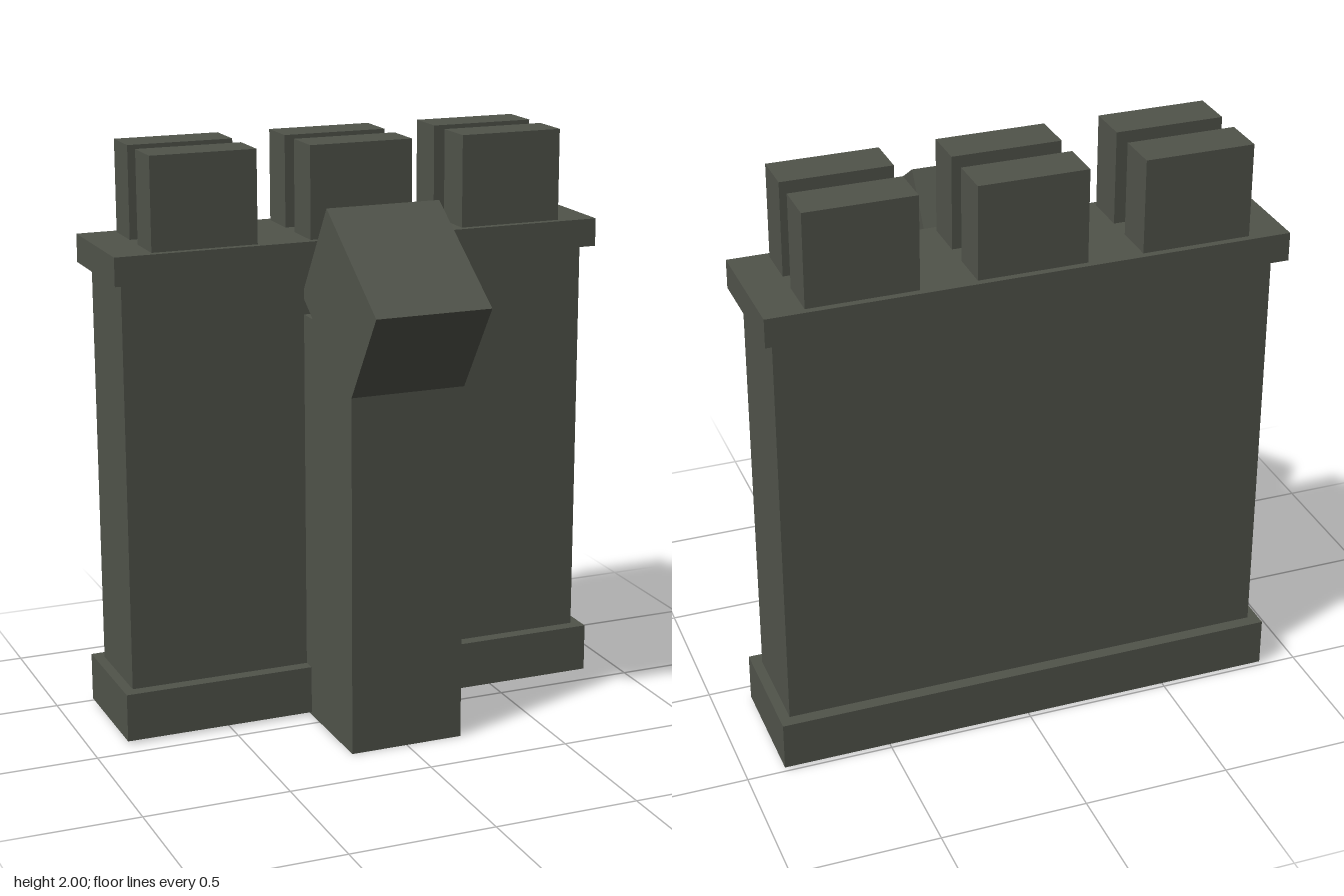
import * as THREE from 'three';

export function createModel() {
  const model = new THREE.Group();
  const stone = new THREE.MeshStandardMaterial({ color: 0x50534a });
  stone.name = 'darkStone';

  // Box given by its extents along x (half width), y and z
  function block(name, halfX, y0, y1, z0, z1, x = 0) {
    const mesh = new THREE.Mesh(new THREE.BoxGeometry(halfX * 2, y1 - y0, z1 - z0), stone);
    mesh.position.set(x, (y0 + y1) / 2, (z0 + z1) / 2);
    mesh.name = name;
    model.add(mesh);
    return mesh;
  }

  // Wall with its plinth and coping
  block('wall', 0.835, 0.1, 1.64, -0.45, -0.118);
  block('plinth', 0.87, 0.01, 0.178, -0.493, -0.073);
  block('coping', 0.87, 1.587, 1.684, -0.502, -0.069);

  // Two rows of three battlements
  for (const z of [-0.169, -0.404]) {
    for (const x of [-0.553, 0, 0.553]) {
      block('battlement', 0.183, 1.68, 2, z - 0.074, z + 0.074, x);
    }
  }

  // Front pillar with a tilted head block
  block('pillar', 0.2, 0, 1.427, -0.2, 0.3);
  const head = block('pillarHead', 0.2, 1.317, 1.717, -0.064, 0.436);
  head.rotation.x = THREE.MathUtils.degToRad(34);

  return model;
}
